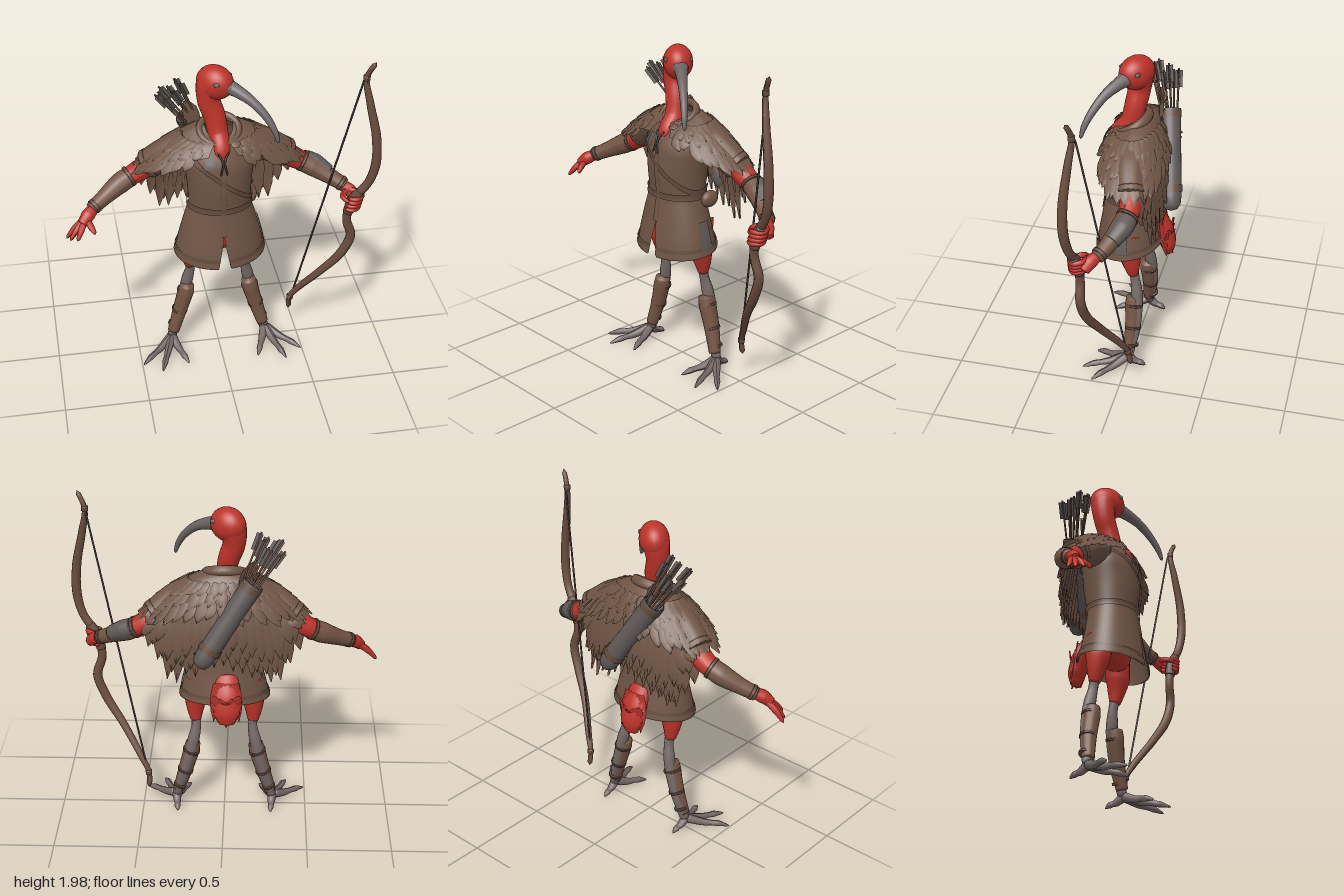
import * as THREE from 'three';
import { mergeGeometries } from 'three/addons/utils/BufferGeometryUtils.js';
const V = (x, y, z) => new THREE.Vector3(x, y, z);
const lerp = THREE.MathUtils.lerp, TAU = Math.PI * 2;
const wobble = i => Math.abs(Math.sin(i * 12.9898) * 43758.5453) % 1;
const paint = (name, color, side = THREE.FrontSide) => Object.assign(new THREE.MeshStandardMaterial({ color, side }), { name });

// Closed tube through [x, y, z, radius] points
function limb(pts, sides = 12, seg = 28) {
  const curve = new THREE.CatmullRomCurve3(pts.map(p => V(p[0], p[1], p[2])), false, 'centripetal');
  const geo = new THREE.TubeGeometry(curve, seg, 1, sides), pos = geo.attributes.position, v = V(0, 0, 0);
  for (let i = 0; i <= seg; i++) {
    const c = curve.getPointAt(i / seg), t = curve.getUtoTmapping(i / seg) * (pts.length - 1);
    const k = Math.min(Math.floor(t), pts.length - 2);
    const r = i === 0 || i === seg ? 0.0005 : lerp(pts[k][3], pts[k + 1][3], t - k);
    for (let n = i * (sides + 1); n < (i + 1) * (sides + 1); n++) {
      v.fromBufferAttribute(pos, n).sub(c).multiplyScalar(r).add(c);
      pos.setXYZ(n, v.x, v.y, v.z);
    }
  }
  geo.computeVertexNormals();
  return geo;
}

// Grid surface from a function of (u, v): u runs around, v runs down
function grid(fn, nu, nv) {
  const pos = [], idx = [];
  for (let i = 0; i <= nv; i++) for (let j = 0; j <= nu; j++) {
    pos.push(...fn(j / nu, i / nv).toArray());
    const a = i * (nu + 1) + j, c = a + nu + 1;
    if (i < nv && j < nu) idx.push(a, c, a + 1, a + 1, c, c + 1);
  }
  const geo = new THREE.BufferGeometry();
  geo.setAttribute('position', new THREE.Float32BufferAttribute(pos, 3));
  geo.setIndex(idx);
  geo.computeVertexNormals();
  return geo;
}

// Tunic sections: height, half width, front z, back z
const SECTIONS = [[1.52, 0.15, 0.13, -0.1], [1.4, 0.21, 0.19, -0.14], [1.25, 0.19, 0.2, -0.13],
  [1.1, 0.18, 0.185, -0.105], [0.95, 0.225, 0.21, -0.12], [0.85, 0.25, 0.23, -0.14], [0.75, 0.267, 0.242, -0.157]];
function tunicAt(theta, y, out) {
  let k = 0;
  while (k < SECTIONS.length - 2 && y < SECTIONS[k + 1][0]) k++;
  const a = SECTIONS[k], b = SECTIONS[k + 1];
  const [hx, zf, zb] = [1, 2, 3].map(i => lerp(a[i], b[i], (a[0] - y) / (a[0] - b[0])));
  const dip = THREE.MathUtils.clamp((1 - y) / 0.24, 0, 1) * 0.025;
  return V(Math.sin(theta) * (hx + out), y - Math.cos(theta) * dip, (zf + zb) / 2 + Math.cos(theta) * ((zf - zb) / 2 + out));
}
// Tunic layer between two heights and angles, with a slit that opens below y = 0.94
const tunicBand = (y0, y1, out, rows, from = 0, to = TAU) => grid((u, v) => {
  const y = lerp(y0, y1, v), gap = from === 0 ? Math.max(0, 0.94 - y) * 0.75 : 0;
  return tunicAt(lerp(from + gap, to - gap, u), y, out);
}, 56, rows);

// Mantle surface: t runs from the neck to the edge, lower at the throat
function mantleAt(theta, t) {
  const s = Math.sin(theta), c = Math.cos(theta), back = c < 0;
  const drop = (0.12 + 0.09 * s * s + (back ? 0.06 * c * c : 0)) * Math.pow(t, 1.6) + (back ? 0 : 0.06 * c * Math.max(0, 1 - t));
  return V(lerp(0.08, 0.42, t) * s, 1.59 - drop,
    lerp(0.015, -0.015, t) + (back ? -lerp(0.085, 0.165, t) * Math.pow(-c, 0.7) : lerp(0.085, 0.195, t) * c));
}

// Ridged feather blade from base to tip
function feather(base, tip, width, out, sag = 0) {
  const dir = tip.clone().sub(base).normalize(), side = dir.clone().cross(out).normalize(), n = side.clone().cross(dir);
  const W = [0.55, 0.9, 1, 0.72, 0.04];
  return grid((u, v) => base.clone().lerp(tip, v).addScaledVector(side, (1 - u * 2) * W[Math.round(v * 4)] * width / 2)
    .addScaledVector(n, (u === 0.5 ? width * 0.13 : 0) + sag * Math.sin(v * Math.PI)), 2, 4);
}

export function createModel() {
  const red = paint('red plumage', 0xbd332a), redFeather = paint('red tail feathers', 0xb0312a, THREE.DoubleSide);
  const cloth = paint('brown cloth', 0x6f5545, THREE.DoubleSide), trim = paint('dark leather', 0x634b3d, THREE.DoubleSide);
  const leather = paint('brown leather', 0x735443), wood = paint('bow wood', 0x694c3d);
  const skin = paint('grey scaly skin', 0x746966), beakGrey = paint('beak grey', 0x6b6463);
  const grey = paint('grey leather', 0x605a58, THREE.DoubleSide), cord = paint('dark cord', 0x443d3a);
  const root = new THREE.Group();
  const place = (object, name, parent) => { object.name = name; parent.add(object); return object; };
  const add = (name, geo, mat, parent = root) => place(new THREE.Mesh(geo, mat), name, parent);
  const ball = (name, mat, [a, b, c], [x, y, z], parent) =>
    add(name, new THREE.SphereGeometry(1, 26, 18).scale(a, b, c).translate(x, y, z), mat, parent);
  // Neck, head and beak, turned towards the left
  add('neck', limb([[0, 1.41, 0.11, 0.04], [0, 1.47, 0.115, 0.055], [-0.008, 1.55, 0.05, 0.058], [-0.025, 1.65, 0.022, 0.063],
    [-0.055, 1.75, 0.005, 0.066], [-0.045, 1.85, 0, 0.08], [-0.02, 1.9, 0.01, 0.06]], 20), red);
  const head = place(new THREE.Group(), 'head', root);
  head.position.set(-0.02, 1.86, 0.013);
  head.rotation.y = -0.68;
  ball('skull', red, [0.112, 0.1, 0.086], [0, 0, 0], head);
  ball('face', beakGrey, [0.055, 0.04, 0.044], [0.073, -0.008, 0], head);
  for (const s of [1, -1]) ball('eye', beakGrey, [0.018, 0.014, 0.009], [0.05, 0.025, s * 0.073], head);
  add('beak', limb([[0.04, 1.85, 0.05, 0.046], [0.09, 1.835, 0.09, 0.037], [0.17, 1.79, 0.155, 0.027],
    [0.24, 1.715, 0.21, 0.022], [0.28, 1.64, 0.245, 0.017], [0.298, 1.578, 0.26, 0.009]], 14, 36), beakGrey);
  // Tunic with hem, belt, placket, patches, strap and pouch
  [['tunic', cloth, 1.52, 0.76, 0, 18], ['hem', trim, 0.815, 0.758, 0.006, 5], ['hemEdge', cloth, 0.795, 0.768, 0.01, 4],
    ['belt', trim, 1.125, 1.085, 0.01, 3], ['placket', trim, 1.44, 0.95, 0.004, 18, -0.09, 0.09],
    ['placketFace', cloth, 1.44, 0.95, 0.008, 18, -0.07, 0.07], ['chestPatch', grey, 1.46, 1.39, 0.006, 4, -0.52, -0.28],
    ['sidePatch', grey, 0.96, 0.8, 0.008, 5, 1.38, 1.76]].forEach(([name, mat, ...band]) => add(name, tunicBand(...band), mat));
  add('quiverStrap', grid((u, v) => {
    const a = u * TAU;
    return tunicAt(a, 1.3 - 0.17 * Math.sin(a) - (v - 0.5) * 0.035, 0.012);
  }, 56, 1), trim);
  ball('pouch', leather, [0.035, 0.05, 0.06], [0.2, 1.075, -0.03]);
  ball('hips', red, [0.17, 0.11, 0.1], [0, 0.87, 0.04]);
  // Mantle, collar and neck cords
  add('mantle', grid((u, v) => mantleAt(0.2 + u * (TAU - 0.4), v), 60, 10), cloth);
  add('collar', new THREE.TorusGeometry(0.1, 0.02, 10, 36).scale(1.12, 1.02, 1.5).rotateX(Math.PI / 2 + 0.55).translate(0, 1.555, 0.025), cloth);
  for (const s of [1, -1])
    add('neckCord', limb([[s * 0.03, 1.49, 0.165, 0.006], [s * 0.006, 1.44, 0.195, 0.006], [s * 0.02, 1.36, 0.213, 0.005]], 6, 10), cord);
  // Feather rows over the mantle
  const mantleFeathers = [], capeFeathers = [], tail = [];
  [0.38, 0.62, 0.84].forEach((t, row) => {
    const count = 26 + row * 5;
    for (let i = 0; i < count; i++) {
      const a = 0.34 + (i + 0.5 * (row % 2)) / count * (TAU - 0.68), w = wobble(i + row * 50);
      const out = V(Math.sin(a) * 0.6, 1, Math.cos(a) * 0.9).normalize();
      mantleFeathers.push(feather(mantleAt(a, t).addScaledVector(out, 0.006),
        mantleAt(a + (w - 0.5) * 0.12, t + 0.33 + w * 0.11).addScaledVector(out, 0.012), 0.058 + row * 0.008, out));
    }
  });
  // Long feathers hanging down the back and under the arms
  for (let row = 0; row < 3; row++) for (let i = 0; i < 17; i++) {
    const s = (i + 0.5 * (row % 2)) / 8 - 1, q = Math.min(Math.abs(s), 1), w = wobble(i * 3 + row), depth = row * 0.01;
    const low = q < 0.73 ? lerp(1.02, 0.91, q / 0.73) : lerp(0.91, 1.14, (q - 0.73) / 0.27);
    capeFeathers.push(feather(V(s * 0.38, 1.42 - q * 0.05, -0.14 + q * q * 0.06 - depth),
      V(s * 0.44, low + row * 0.07 + w * 0.05, -0.185 + q * q * 0.07 - depth), 0.092, V(s * 0.4, 0, -1).normalize(), 0.01));
  }
  // Tail
  for (let row = 0; row < 4; row++) for (let i = -2; i <= 2; i++)
    tail.push(feather(V(i * 0.028 - 0.012, 0.93 - row * 0.045, -0.15 - row * 0.012),
      V(i * 0.037 - 0.015, 0.66 + row * 0.06 + Math.abs(i) * 0.016, -0.205 - row * 0.004 + Math.abs(i) * 0.012), 0.066, V(i * 0.2, 0.2, -1)));
  add('mantleFeathers', mergeGeometries(mantleFeathers), cloth);
  add('capeFeathers', mergeGeometries(capeFeathers), cloth);
  add('tailFeathers', mergeGeometries(tail), redFeather);
  add('tailBase', limb([[-0.01, 0.96, -0.08, 0.04], [-0.01, 0.84, -0.15, 0.05], [-0.01, 0.74, -0.18, 0.046], [-0.01, 0.67, -0.185, 0.025]]).scale(1.7, 1, 1), red);
  for (const s of [1, -1]) {
    const part = (name, mat, pts, sides, seg) =>
      add((s > 0 ? 'left' : 'right') + name, limb(pts.map(([x, ...rest]) => [x * s, ...rest]), sides, seg), mat);
    // Arm
    part('Sleeve', cloth, [[0.16, 1.46, 0, 0.1], [0.28, 1.41, -0.02, 0.096], [0.405, 1.325, -0.05, 0.085]], 18);
    part('SleeveCuff', cloth, [[0.375, 1.347, -0.043, 0.088], [0.412, 1.32, -0.052, 0.088]], 18, 8);
    part('UpperArm', red, [[0.34, 1.37, -0.035, 0.06], [0.45, 1.28, -0.06, 0.064], [0.54, 1.23, -0.055, 0.055]], 16);
    part('Bracer', leather, [[0.5, 1.25, -0.06, 0.06], [0.57, 1.215, -0.04, 0.062], [0.67, 1.16, 0.01, 0.047], [0.755, 1.115, 0.06, 0.04]], 16);
    part('BracerRim', trim, [[0.5, 1.252, -0.062, 0.064], [0.525, 1.24, -0.055, 0.066]], 16, 6);
    part('WristBand', trim, [[0.715, 1.137, 0.037, 0.046], [0.74, 1.123, 0.051, 0.046]], 16, 6);
    part('Palm', red, [[0.72, 1.13, 0.04, 0.03], [0.77, 1.1, 0.085, 0.04], [0.81, 1.06, 0.115, 0.03]]);
    // Leg
    part('Thigh', red, [[0.15, 0.9, 0.01, 0.08], [0.17, 0.76, 0.01, 0.072], [0.175, 0.68, 0, 0.052], [0.172, 0.6, -0.01, 0.03]], 16);
    part('Shin', skin, [[0.172, 0.66, -0.005, 0.03], [0.17, 0.57, -0.02, 0.028], [0.185, 0.49, -0.032, 0.036],
      [0.2, 0.42, -0.04, 0.034], [0.24, 0.26, -0.036, 0.033], [0.275, 0.14, -0.018, 0.029], [0.295, 0.06, 0, 0.03]]);
    part('Greave', leather, [[0.187, 0.465, -0.014, 0.042], [0.2, 0.4, -0.015, 0.05], [0.235, 0.27, -0.018, 0.045], [0.285, 0.1, -0.004, 0.035]], 16);
    for (const [x, y, r] of [[0.2, 0.4, 0.053], [0.238, 0.26, 0.049], [0.272, 0.15, 0.04]])
      part('GreaveStrap', trim, [[x - 0.003, y + 0.01, -0.023, r], [x + 0.004, y - 0.01, -0.023, r]], 14, 6);
    // Three front toes and a back toe
    for (const [x, z] of [[0.385, 0.26], [0.495, 0.18], [0.215, 0.21], [0.285, -0.11]])
      part('Toe', skin, [[0.295, 0.075, 0, 0.03], [lerp(0.295, x, 0.4), 0.042, z * 0.4, 0.022], [lerp(0.295, x, 0.58), 0.036, z * 0.58, 0.017],
        [lerp(0.295, x, 0.75), 0.03, z * 0.75, 0.019], [x, 0.012, z, 0.005]], 9, 20);
  }
  // Open right hand, and left hand closed on the bow
  for (const [x, y, z] of [[-0.905, 0.97, 0.11], [-0.885, 0.975, 0.145], [-0.845, 0.99, 0.18], [-0.74, 1.03, 0.185]])
    add('rightFinger', limb([[-0.785, 1.085, 0.085, 0.02], [lerp(-0.785, x, 0.55), lerp(1.08, y, 0.45), lerp(0.09, z, 0.6), 0.019],
      [x, y, z, 0.009]], 9, 14), red);
  for (let i = 0; i < 4; i++) {
    const y = 1.12 - i * 0.024, d = i * 0.006;
    add('leftFinger', limb([[0.75, y, 0.1, 0.015], [0.808 - d, y - 0.005, 0.13, 0.017], [0.82 - d, y - 0.01, 0.175, 0.016],
      [0.775 - d, y - 0.012, 0.2, 0.015], [0.74 - d, y - 0.012, 0.18, 0.011]], 9, 20), red);
  }
  add('leftThumb', limb([[0.75, 1.11, 0.09, 0.018], [0.715, 1.1, 0.14, 0.017], [0.74, 1.09, 0.195, 0.012]], 9, 14), red);
  add('bracerPatch', limb([[0.525, 1.252, -0.07, 0.054], [0.585, 1.223, -0.05, 0.059], [0.665, 1.175, -0.004, 0.046]], 16), grey);
  // Bow, grip, string and tip wraps
  add('bow', limb([[0.85, 1.992, 0.18, 0.014], [0.807, 1.89, 0.16, 0.016], [0.83, 1.74, 0.178, 0.022],
    [0.875, 1.52, 0.2, 0.027], [0.882, 1.34, 0.2, 0.028], [0.85, 1.21, 0.185, 0.025], [0.768, 1.08, 0.162, 0.026],
    [0.743, 0.945, 0.155, 0.026], [0.775, 0.82, 0.148, 0.028], [0.725, 0.68, 0.13, 0.028], [0.62, 0.52, 0.075, 0.024],
    [0.505, 0.335, -0.015, 0.02], [0.462, 0.25, -0.045, 0.016], [0.46, 0.152, -0.06, 0.016]], 12, 90), wood);
  add('bowGrip', limb([[0.815, 1.15, 0.175, 0.03], [0.768, 1.08, 0.162, 0.031], [0.745, 0.99, 0.157, 0.03]]), trim);
  add('bowString', limb([[0.805, 1.9, 0.145, 0.006], [0.465, 0.24, -0.04, 0.006]], 6, 40), cord);
  for (const [x, y, z] of [[0.807, 1.89, 0.16], [0.463, 0.25, -0.045]])
    add('bowWrap', limb([[x, y + 0.02, z, 0.02], [x, y - 0.02, z, 0.02]], 10, 6), trim);
  // Quiver slung across the back, built along its own y axis
  const quiver = place(new THREE.Group(), 'quiver', root);
  quiver.position.set(0.13, 1.1, -0.225);
  quiver.quaternion.setFromUnitVectors(V(0, 1, 0), V(-0.33, 0.52, 0.085).normalize());
  add('quiverBody', new THREE.LatheGeometry([[0, -0.03], [0.035, -0.02], [0.054, 0.01], [0.06, 0.06], [0.062, 0.56], [0.054, 0.56], [0.05, 0.5], [0, 0.5]]
    .map(p => new THREE.Vector2(...p)), 24), grey, quiver);
  for (const y of [0.1, 0.53]) add('quiverBand', new THREE.CylinderGeometry(0.066, 0.066, 0.04, 24, 1, true).translate(0, y, 0), trim, quiver);
  add('quiverFlap', feather(V(0.035, 0.5, 0.045), V(0.055, 0.68, 0.03), 0.1, V(0.5, 0, 1)), cloth, quiver);
  for (let i = 0; i < 9; i++) {
    const a = i * 2.4, r = 0.008 + 0.011 * Math.sqrt(i), h = 0.33 + wobble(i) * 0.08;
    const arrow = place(new THREE.Group(), 'arrow', quiver);
    arrow.position.set(Math.cos(a) * r, 0.45, Math.sin(a) * r);
    arrow.rotation.set(0.08 + Math.sin(a) * r * 4, 0, -0.05 - Math.cos(a) * r * 4);
    add('shaft', new THREE.CylinderGeometry(0.006, 0.006, h, 6).translate(0, h / 2, 0), wood, arrow);
    for (let k = 0; k < 3; k++)
      add('fletching', new THREE.PlaneGeometry(0.022, 0.1).translate(0.013, h - 0.06, 0).rotateY(k * TAU / 3), grey, arrow);
  }
  return root;
}
